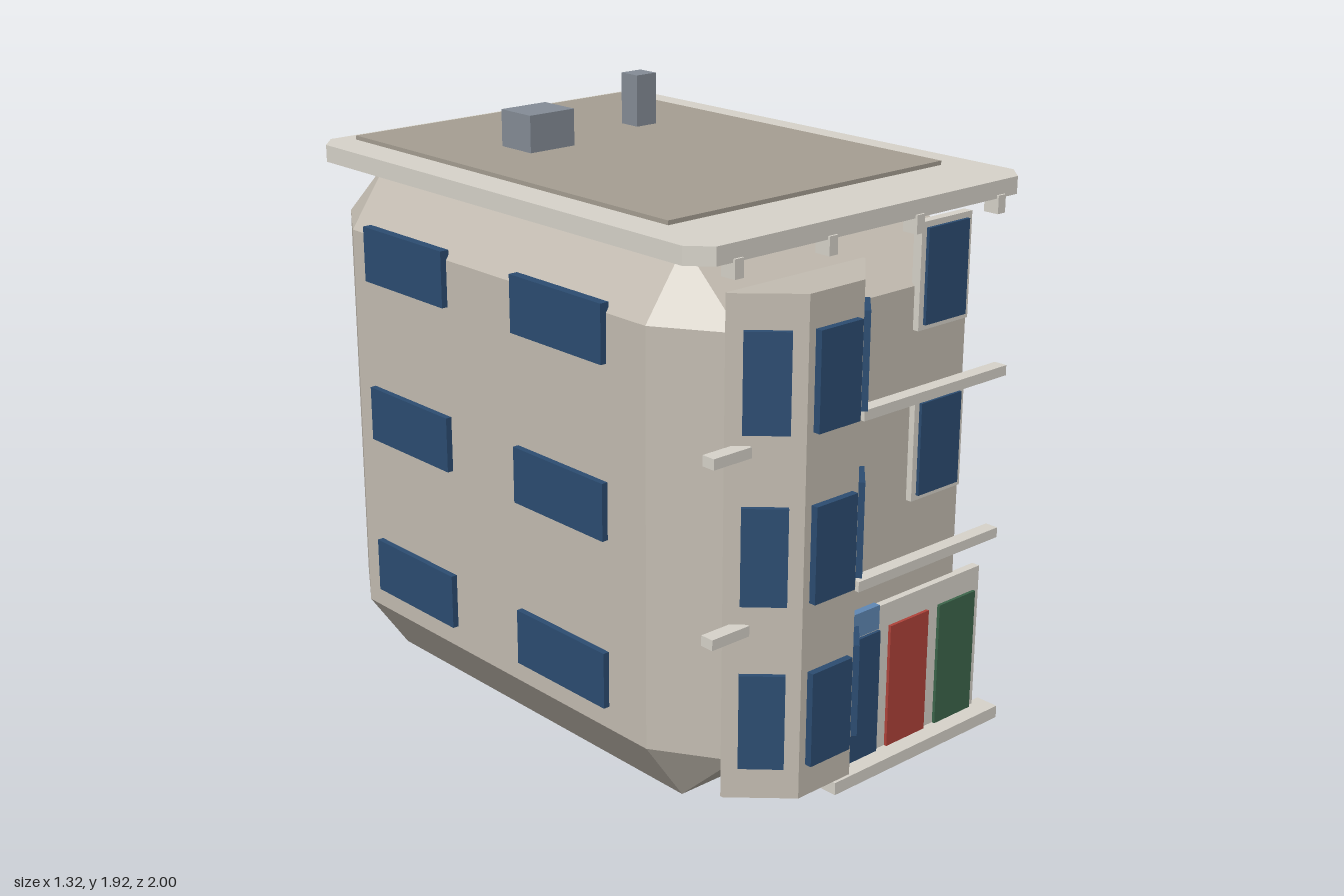
import * as THREE from 'three';
import { ConvexGeometry } from 'three/addons/geometries/ConvexGeometry.js';

const mat = (color) => new THREE.MeshStandardMaterial({ color, flatShading: true });

export function createModel() {
  const house = new THREE.Group();
  house.name = 'townhouse';

  const wall = mat(0xc4bdb2);
  const trim = mat(0xd8d4cb);
  const roofing = mat(0xa69f93);
  const slate = mat(0x858d97);
  const glass = mat(0x2c4d72);
  const lightBlue = mat(0x6088b5);
  const red = mat(0xb0433a);
  const green = mat(0x3c664b);

  const add = (name, geometry, material) => {
    const mesh = new THREE.Mesh(geometry, material);
    mesh.name = name;
    house.add(mesh);
    return mesh;
  };

  // box given by its extents on each axis
  const box = (name, material, [x0, x1], [y0, y1], [z0, z1]) => {
    const mesh = add(name, new THREE.BoxGeometry(x1 - x0, y1 - y0, z1 - z0), material);
    mesh.position.set((x0 + x1) / 2, (y0 + y1) / 2, (z0 + z1) / 2);
    return mesh;
  };

  // upright prism from a plan outline of [x, z] points
  const prism = (name, material, plan, y0, y1) => {
    const shape = new THREE.Shape(plan.map(([x, z]) => new THREE.Vector2(x, -z)));
    const geometry = new THREE.ExtrudeGeometry(shape, { depth: y1 - y0, bevelEnabled: false });
    geometry.rotateX(-Math.PI / 2).translate(0, y0, 0);
    return add(name, geometry, material);
  };

  // main block with every edge chamfered
  const points = [];
  for (const s of [-1, 1]) {
    for (const [yOuter, yInner] of [[0, 0.2], [1.67, 1.47]]) {
      for (const [zOuter, zInner] of [[0.83, 0.61], [-1, -0.78]]) {
        points.push(
          new THREE.Vector3(s * 0.6, yInner, zInner),
          new THREE.Vector3(s * 0.46, yOuter, zInner),
          new THREE.Vector3(s * 0.46, yInner, zOuter)
        );
      }
    }
  }
  add('mainBlock', new ConvexGeometry(points), wall);

  // roof slab with cut corners, covering and chimneys
  prism('roofSlab', trim, [
    [-0.6, 0.885], [0.6, 0.885], [0.66, 0.82], [0.66, -0.815],
    [0.6, -0.88], [-0.6, -0.88], [-0.66, -0.815], [-0.66, 0.82],
  ], 1.69, 1.743);
  box('roofCovering', roofing, [-0.545, 0.545], [1.74, 1.756], [-0.82, 0.64]);
  box('wideChimney', slate, [-0.3, -0.13], [1.75, 1.87], [-0.39, -0.25]);
  box('tallChimney', slate, [0.2, 0.28], [1.75, 1.92], [-0.41, -0.335]);

  // brackets under the eaves
  for (const x of [-0.525, -0.175, 0.175, 0.525]) {
    box('eavesBracket', trim, [x - 0.016, x + 0.016], [1.645, 1.7], [0.84, 0.892]);
  }

  // three-sided bay
  prism('bay', wall, [
    [-0.505, 0.82], [-0.505, 0.83], [-0.35, 0.978], [-0.14, 0.978], [0.02, 0.83], [0.02, 0.82],
  ], 0.1, 1.59);

  for (const y of [0.2, 0.7, 1.2]) {
    // bay windows on the front and both slanted faces
    box('bayWindow', glass, [-0.325, -0.165], [y, y + 0.29], [0.97, 1]);
    for (const s of [-1, 1]) {
      const pane = add('bayWindow', new THREE.BoxGeometry(0.13, 0.29, 0.022), glass);
      pane.position.set(-0.243 + s * 0.189, y + 0.145, 0.907);
      pane.rotation.y = s * 0.77;
    }
  }

  // side windows, mirrored
  for (const y of [0.272, 0.798, 1.324]) {
    for (const z of [0.245, -0.49]) {
      for (const s of [-1, 1]) {
        box('sideWindow', glass, [s * 0.605 - 0.015, s * 0.605 + 0.015], [y, y + 0.176], [z - 0.202, z + 0.202]);
      }
    }
  }

  // framed front windows
  for (const y of [0.83, 1.355]) {
    box('windowFrame', trim, [0.23, 0.445], [y - 0.016, y + 0.305], [0.82, 0.85]);
    box('frontWindow', glass, [0.25, 0.425], [y, y + 0.287], [0.83, 0.86]);
  }

  // belt courses either side of the bay
  for (const y of [0.608, 1.133]) {
    for (const span of [[-0.6, -0.46], [-0.02, 0.6]]) {
      box('beltCourse', trim, span, [y, y + 0.032], [0.838, 0.882]);
    }
  }

  // entrance board, doors, canopy light and step
  box('entranceBoard', trim, [-0.08, 0.56], [0.03, 0.515], [0.825, 0.852]);
  box('blueDoor', glass, [-0.065, 0.105], [0.04, 0.44], [0.84, 0.862]);
  box('redDoor', red, [0.15, 0.32], [0.04, 0.44], [0.84, 0.862]);
  box('greenDoor', green, [0.37, 0.535], [0.04, 0.44], [0.84, 0.862]);
  box('doorTransom', lightBlue, [-0.055, 0.095], [0.45, 0.527], [0.84, 0.864]);
  box('frontStep', trim, [-0.13, 0.605], [0, 0.04], [0.838, 0.915]);

  return house;
}
